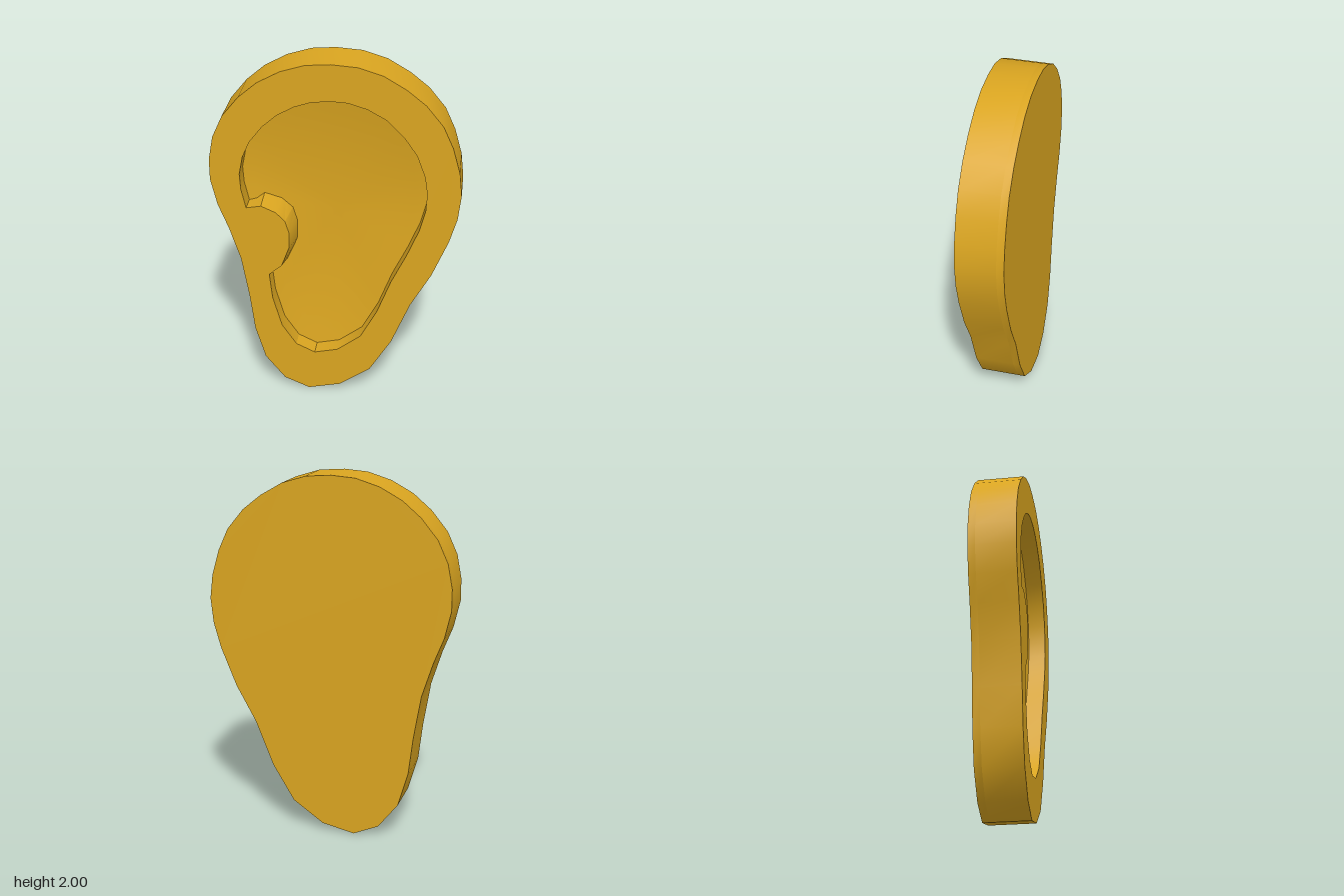
import * as THREE from 'three';
import { toCreasedNormals } from 'three/addons/utils/BufferGeometryUtils.js';

const FRONT = 0.127, BACK = -0.127, SLAB = 0.04;

// Outer silhouette, counter-clockwise from the lobe
const OUTER = [
  [-0.15, 0], [0.03, 0.04], [0.2, 0.16], [0.32, 0.36], [0.42, 0.61], [0.53, 0.81], [0.615, 1.02],
  [0.655, 1.16], [0.67, 1.3], [0.655, 1.43], [0.615, 1.57], [0.56, 1.69], [0.47, 1.8], [0.37, 1.88],
  [0.25, 1.95], [0.12, 1.99], [-0.02, 2], [-0.15, 1.99], [-0.28, 1.95], [-0.4, 1.885], [-0.5, 1.8],
  [-0.59, 1.69], [-0.645, 1.57], [-0.67, 1.44], [-0.67, 1.32], [-0.635, 1.17], [-0.58, 1.03],
  [-0.52, 0.84], [-0.48, 0.6], [-0.455, 0.39], [-0.4, 0.2], [-0.29, 0.06],
];
// Hollow outline in two runs, with the bulge of the inner flap between them
const HOLLOW_UPPER = [
  [-0.115, 0.25], [0.015, 0.28], [0.145, 0.38], [0.235, 0.55], [0.31, 0.75], [0.39, 0.92],
  [0.455, 1.08], [0.485, 1.2], [0.49, 1.3], [0.475, 1.4], [0.43, 1.52], [0.36, 1.62], [0.27, 1.71],
  [0.17, 1.765], [0.07, 1.795], [-0.02, 1.8], [-0.12, 1.79], [-0.21, 1.76], [-0.3, 1.71],
  [-0.38, 1.64], [-0.45, 1.55], [-0.49, 1.46], [-0.51, 1.36], [-0.505, 1.27], [-0.48, 1.16],
];
const FLAP = [[-0.4, 1.175], [-0.32, 1.14], [-0.27, 1.09], [-0.25, 1.02], [-0.25, 0.93], [-0.295, 0.81]];
const HOLLOW_LOWER = [[-0.365, 0.75], [-0.35, 0.6], [-0.3, 0.42], [-0.22, 0.3]];

const toVectors = (pts) => pts.map(([x, y]) => new THREE.Vector2(x, y));

function extrude(shape, z, depth) {
  return new THREE.ExtrudeGeometry(shape, { depth, bevelEnabled: false }).translate(0, 0, z);
}

// Rim ring; the flap's wall flares outwards towards the back
function rimGeometry() {
  const shape = new THREE.Shape(toVectors(OUTER));
  shape.holes.push(new THREE.Path(toVectors([...HOLLOW_UPPER, ...FLAP, ...HOLLOW_LOWER])));
  const geo = extrude(shape, BACK + SLAB, FRONT - BACK - SLAB);
  const p = geo.attributes.position;
  for (let i = 0; i < p.count; i++) {
    const x = p.getX(i), y = p.getY(i);
    if (x < -0.41 || x > -0.24 || y < 0.8 || y > 1.18) continue;
    const away = new THREE.Vector2(x + 0.42, y - 0.98).setLength(0.2 * (FRONT - p.getZ(i)));
    p.setXY(i, x + away.x, y + away.y);
  }
  return toCreasedNormals(geo, 0.5);
}

// Dished floor: shrinking rings that sink towards the middle
function floorGeometry() {
  const edge = [...HOLLOW_UPPER, ...HOLLOW_LOWER];
  const n = edge.length, rings = 8, cx = 0, cy = 1.1;
  const pos = [], index = [];
  for (let r = 0; r <= rings; r++) {
    const t = r / rings;
    for (const [x, y] of edge) {
      pos.push(cx + (x - cx) * t, cy + (y - cy) * t, 0.03 - 0.06 * (1 - t * t));
    }
  }
  for (let r = 0; r < rings; r++) {
    for (let i = 0; i < n; i++) {
      const j = (i + 1) % n, a = r * n + i, b = r * n + j, c = a + n, d = b + n;
      index.push(a, c, d);
      if (r > 0) index.push(a, d, b);
    }
  }
  const geo = new THREE.BufferGeometry();
  geo.setAttribute('position', new THREE.Float32BufferAttribute(pos, 3));
  geo.setIndex(index);
  return toCreasedNormals(geo, 0.8);
}

export function createModel() {
  const gold = new THREE.MeshStandardMaterial({ color: 0xdaa520 });
  gold.name = 'gold';
  const group = new THREE.Group();
  group.name = 'ear';
  const add = (name, geo) => {
    const mesh = new THREE.Mesh(geo, gold);
    mesh.name = name;
    group.add(mesh);
  };
  add('backPlate', toCreasedNormals(extrude(new THREE.Shape(toVectors(OUTER)), BACK, SLAB), 0.5));
  add('outerRim', rimGeometry());
  add('innerHollow', floorGeometry());
  return group;
}
